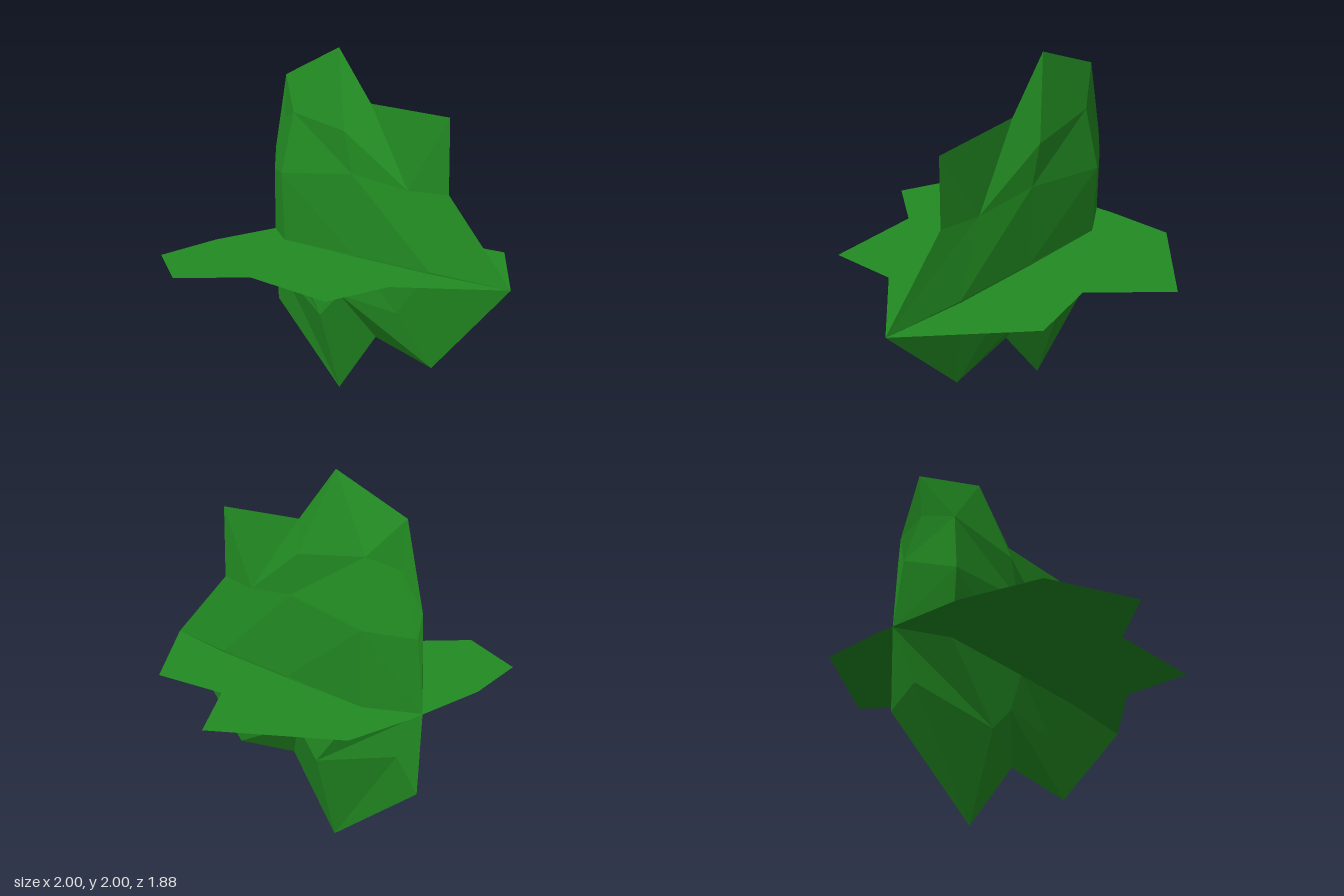
import * as THREE from 'three';

const CENTRE = 0.1;

// Upright blade: rim points (lower case) and facet peaks (upper case) as [y, z, half thickness]
const POINTS = {
  a: [2.0, -0.34, 0], b: [1.82, -0.81, 0], c: [1.38, -0.92, 0], d: [0.87, -0.94, 0],
  e: [0.43, -0.92, 0], f: [0, -0.355, 0], g: [0.39, -0.04, 0], h: [0.32, 0.4, 0],
  i: [0.87, 0.94, 0], j: [1.29, 0.51, 0], k: [1.69, 0.51, 0], l: [1.71, -0.08, 0],
  A: [1.62, -0.63, 0.095], B: [1.27, -0.67, 0.16], C: [0.87, -0.67, 0.145],
  D: [0.48, -0.355, 0.145], E: [1.57, -0.8, 0.02], F: [1.25, -0.91, 0.02],
  G: [1.56, -0.18, 0.108], H: [1.28, 0.25, 0.04], I: [1.33, -0.12, 0.105],
  J: [0.88, 0.45, 0.075], K: [0.6, 0.2, 0.075], L: [0.63, -0.2, 0.13],
  M: [0.88, -0.1, 0.115], N: [0.61, -0.81, 0.035],
};

// Facets as fans: the first letter is the hub, the rest run round it
const FANS = ['Gl' + 'aAIHl', 'AabEFBI', 'EbcF', 'FcdB', 'CBdDLMB', 'NDdefD',
  'DfgL', 'LghKM', 'JHihKMIH', 'Hijkl', 'IMB'];

// One half of the blade; side is +1 for the left, -1 for the right
function bladeHalf(side) {
  const positions = [];
  for (const fan of FANS) {
    for (let n = 1; n < fan.length - 1; n++) {
      const tri = [fan[0], fan[n], fan[n + 1]].map((key) => POINTS[key]);
      const [p, q, r] = tri;
      // Wind every facet so it faces outwards
      const area = (q[0] - p[0]) * (r[1] - p[1]) - (q[1] - p[1]) * (r[0] - p[0]);
      if (area * side < 0) tri.reverse();
      for (const [y, z, t] of tri) positions.push(CENTRE + side * t, y, z);
    }
  }
  const geometry = new THREE.BufferGeometry();
  geometry.setAttribute('position', new THREE.Float32BufferAttribute(positions, 3));
  geometry.computeVertexNormals();
  return geometry;
}

// Flat horizontal sheet, outline in x and z
const SHEET = [
  [-0.34, -0.945], [0.2, -0.945], [0.6, -0.91], [1, -0.34], [0.61, -0.03], [0.67, 0.41],
  [0.1, 0.94], [-0.3, 0.48], [-0.7, 0.46], [-0.7, -0.13], [-1, -0.4], [-0.78, -0.85],
];

export function createModel() {
  const group = new THREE.Group();
  group.name = 'leafCluster';
  const green = { color: 0x228b22, flatShading: true };

  // Thick upright blade in two mirrored halves
  const bladeMaterial = new THREE.MeshStandardMaterial(green);
  for (const [name, side] of [['leftBladeHalf', 1], ['rightBladeHalf', -1]]) {
    const half = new THREE.Mesh(bladeHalf(side), bladeMaterial);
    half.name = name;
    group.add(half);
  }

  // Thin level leaf crossing the blade
  const outline = new THREE.Shape(SHEET.map(([x, z]) => new THREE.Vector2(x, z)));
  const sheet = new THREE.Mesh(
    new THREE.ShapeGeometry(outline).rotateX(Math.PI / 2),
    new THREE.MeshStandardMaterial({ ...green, side: THREE.DoubleSide }),
  );
  sheet.name = 'levelLeaf';
  sheet.position.y = 0.87;
  group.add(sheet);

  return group;
}
